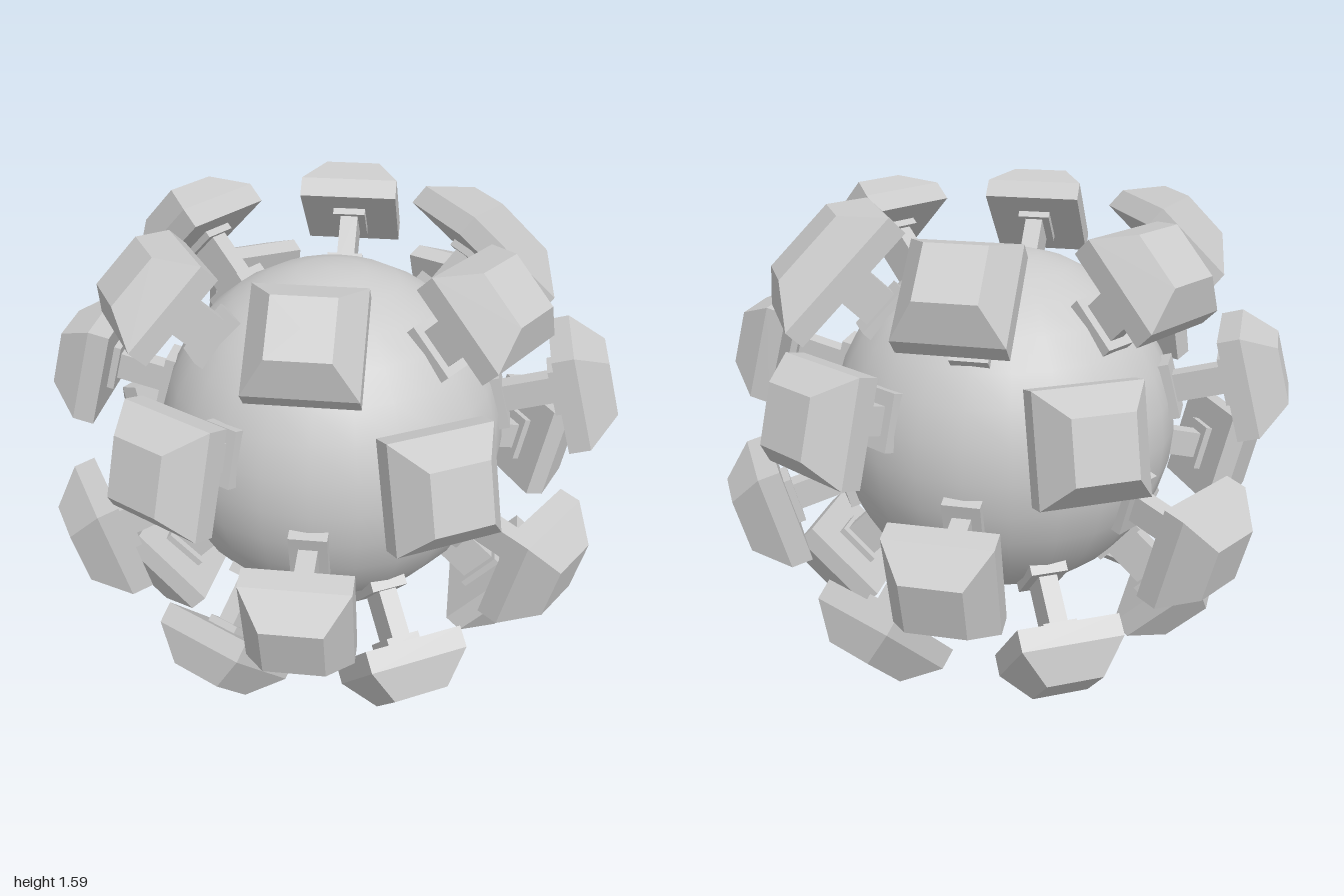
import * as THREE from 'three';

const smooth = new THREE.MeshStandardMaterial({ color: 0xcccccc });
const flat = new THREE.MeshStandardMaterial({ color: 0xcccccc, flatShading: true });
const deg = THREE.MathUtils.degToRad;

function part(name, geometry, material = flat) {
  const mesh = new THREE.Mesh(geometry, material);
  mesh.name = name;
  return mesh;
}

// Square frustum running along +z from z0 to z1, given its half widths
function squareFrustum(half0, half1, z0, z1, open = false) {
  const r = Math.SQRT2;
  return new THREE.CylinderGeometry(half1 * r, half0 * r, z1 - z0, 4, 1, open)
    .rotateY(Math.PI / 4)
    .rotateX(Math.PI / 2)
    .translate(0, 0, (z0 + z1) / 2);
}

function box(w, h, z0, z1) {
  return new THREE.BoxGeometry(w, h, z1 - z0).translate(0, 0, (z0 + z1) / 2);
}

// One foot: base plate on the ball, stem, collar and bevelled pad, all along +z
function createFoot(azimuth, elevation, { roll = 0, stretch = 1, inset = 0 } = {}) {
  const foot = new THREE.Group();
  foot.name = 'foot';
  const stemDepth = Math.abs(elevation) > 30 ? 0.14 : 0.1;
  foot.add(part('basePlate', box(0.13, 0.2, 0.57, 0.64)));
  foot.add(part('stem', box(0.065, stemDepth, 0.6, 0.84 - inset)));
  foot.add(part('collar', box(0.12, 0.17, 0.805 - inset, 0.84 - inset)));

  const pad = new THREE.Group();
  pad.name = 'pad';
  pad.add(part('padRim', squareFrustum(0.178, 0.178, 0.83, 0.905)));
  pad.add(part('padFace', squareFrustum(0.178, 0.1, 0.905, 1.015)));
  pad.scale.y = stretch;
  pad.position.z = -inset;
  pad.rotation.z = deg(roll);
  foot.add(pad);

  foot.rotation.set(-deg(elevation), deg(azimuth), 0, 'YXZ');
  return foot;
}

export function createModel() {
  const model = new THREE.Group();
  model.name = 'ballWithFeet';
  const body = new THREE.Group();
  body.name = 'body';
  body.position.y = 0.8;
  model.add(body);

  body.add(part('ball', new THREE.SphereGeometry(0.62, 24, 16), smooth));

  // Four staggered rings of six feet
  const rings = [
    { elevation: 45, start: 15 },
    { elevation: 15, start: -15 },
    { elevation: -15, start: 15 },
    { elevation: -45, start: -15 },
  ];
  for (const { elevation, start } of rings) {
    for (let i = 0; i < 6; i++) {
      const azimuth = start + i * 60;
      let options = {};
      // One upper pad is longer, one lower pad is slightly turned
      if (elevation === 45 && azimuth === 135) options = { stretch: 1.4, inset: 0.03 };
      if (elevation === -45 && azimuth === 285) options = { roll: 5 };
      body.add(createFoot(azimuth, elevation, options));
    }
  }
  return model;
}
